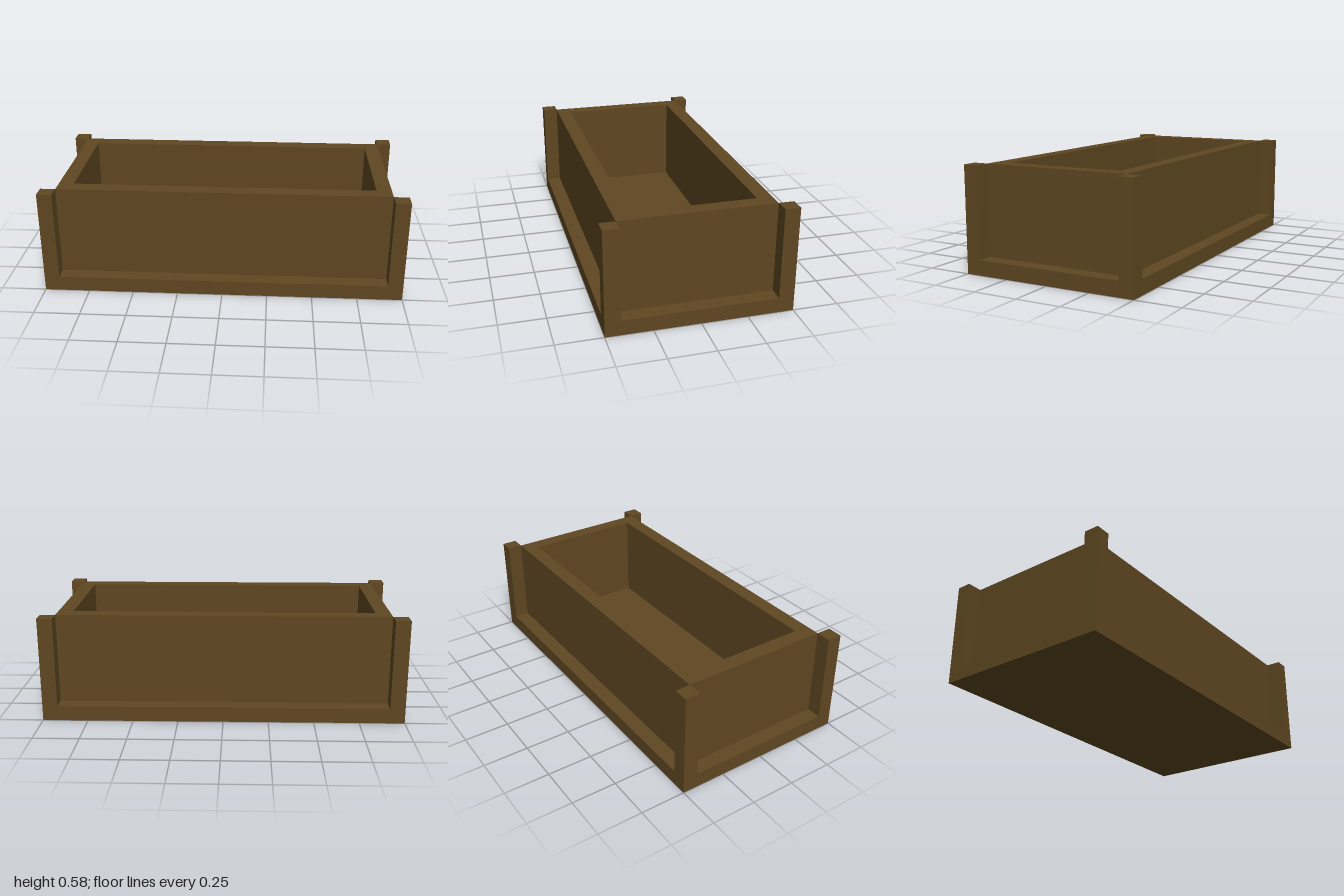
import * as THREE from 'three';

const U = 1 / 12; // plank thickness; every size is a multiple of it

// Rectangle outline centred on the origin
function rectangle(PathType, halfX, halfZ) {
  return new PathType([
    new THREE.Vector2(-halfX, -halfZ),
    new THREE.Vector2(halfX, -halfZ),
    new THREE.Vector2(halfX, halfZ),
    new THREE.Vector2(-halfX, halfZ),
  ]);
}

export function createModel() {
  const model = new THREE.Group();
  model.name = 'planterBox';

  const wood = new THREE.MeshStandardMaterial({ color: 0x5f4721 });
  wood.name = 'darkWood';

  function add(name, geometry, x, y, z) {
    const mesh = new THREE.Mesh(geometry, wood);
    mesh.name = name;
    mesh.position.set(x, y, z);
    model.add(mesh);
  }

  // Base slab
  add('base', new THREE.BoxGeometry(24 * U, U, 12 * U), 0, U / 2, 0);

  // Four walls as one open frame, set in from the base edge
  const frame = rectangle(THREE.Shape, 11 * U, 5 * U);
  frame.holes.push(rectangle(THREE.Path, 10 * U, 4 * U));
  const walls = new THREE.ExtrudeGeometry(frame, { depth: 6 * U, bevelEnabled: false });
  walls.rotateX(-Math.PI / 2);
  add('walls', walls, 0, U, 0);

  // Corner posts, level with the wall tops
  const post = new THREE.BoxGeometry(U, 6 * U, U);
  for (const [side, sx] of [['Left', 1], ['Right', -1]]) {
    for (const [end, sz] of [['front', 1], ['back', -1]]) {
      add(`${end}${side}Post`, post, sx * 11.5 * U, 4 * U, sz * 5.5 * U);
    }
  }

  return model;
}
